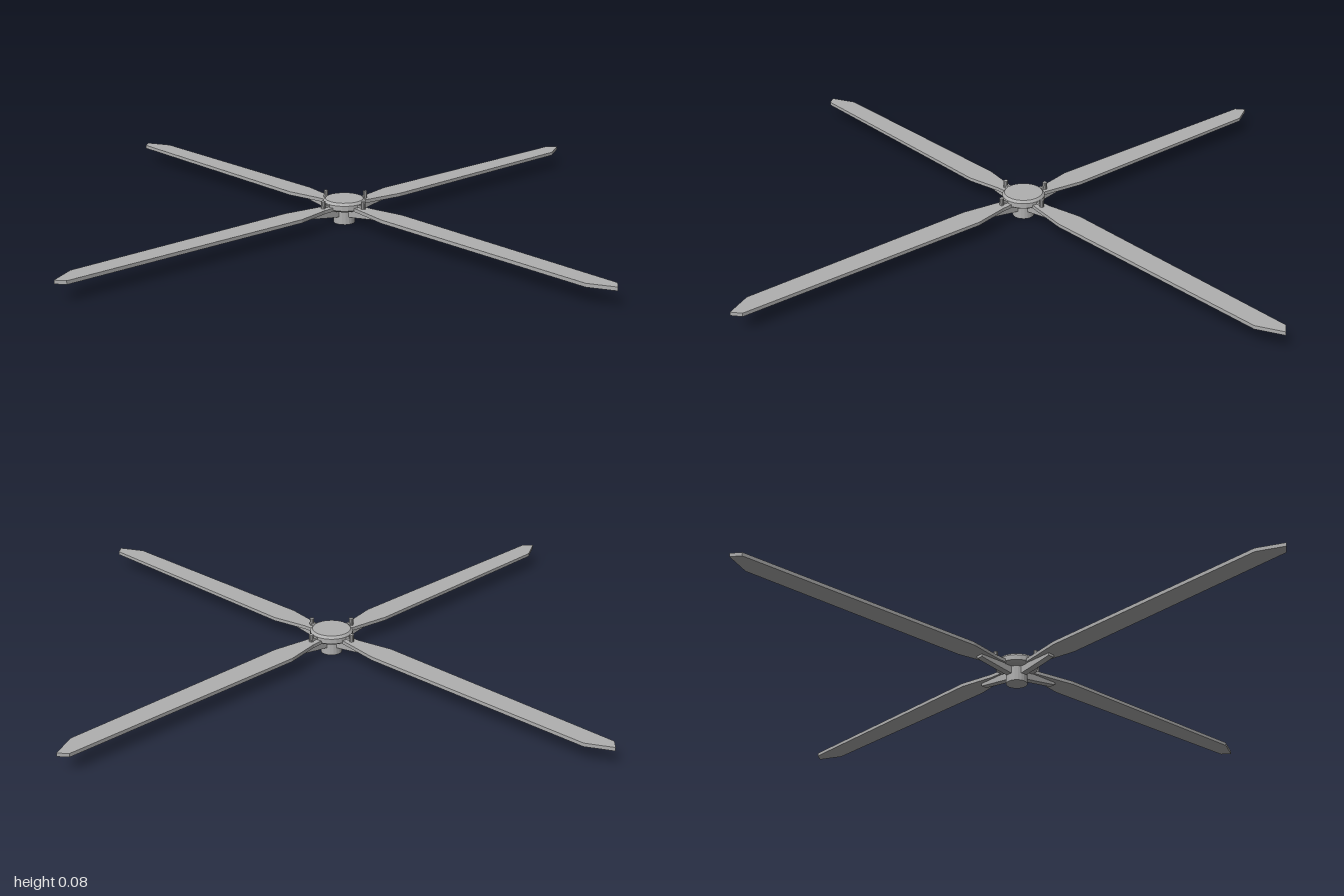
import * as THREE from 'three';

export function createModel() {
  const model = new THREE.Group();
  model.name = 'rotor';
  const grey = new THREE.MeshStandardMaterial({ color: 0xb0b0b0 });
  grey.name = 'grey metal';
  grey.flatShading = true;

  const add = (parent, name, geometry, x = 0, y = 0, z = 0) => {
    const mesh = new THREE.Mesh(geometry, grey);
    mesh.name = name;
    mesh.position.set(x, y, z);
    parent.add(mesh);
    return mesh;
  };
  const outline = (points) => new THREE.Shape(points.map(([x, y]) => new THREE.Vector2(x, y)));

  // Central shaft and chamfered hub cap
  add(model, 'shaft', new THREE.CylinderGeometry(0.034, 0.034, 0.055, 20), 0, 0.0275, 0);
  const capProfile = [[0, 0.048], [0.058, 0.048], [0.067, 0.054], [0.067, 0.07], [0.06, 0.078], [0, 0.078]];
  add(model, 'hubCap', new THREE.LatheGeometry(capProfile.map(([r, y]) => new THREE.Vector2(r, y)), 24));

  // Flat blade in plan, tapering to the hub and clipped at the tip
  const bladeGeometry = new THREE.ExtrudeGeometry(outline([
    [0.05, 0.0], [0.075, 0.005], [0.21, 0.027], [0.94, 0.272],
    [1.0, 0.333], [0.97, 0.352], [0.19, 0.107], [0.088, 0.05], [0.05, 0.035],
  ]), { depth: 0.011, bevelEnabled: false });
  bladeGeometry.rotateX(-Math.PI / 2);

  // Tapered brace under each blade, drawn from the side
  const braceGeometry = new THREE.ExtrudeGeometry(outline([
    [0.025, 0.023], [0.07, 0.029], [0.156, 0.042], [0.156, 0.051], [0.025, 0.051],
  ]), { depth: 0.022, bevelEnabled: false });
  braceGeometry.translate(0, 0, -0.011);

  for (let i = 0; i < 4; i++) {
    const arm = new THREE.Group();
    arm.name = 'bladeArm' + (i + 1);
    arm.rotation.y = i * Math.PI / 2;
    model.add(arm);
    add(arm, 'blade', bladeGeometry, 0, 0.05, 0);
    add(arm, 'brace', braceGeometry).rotation.y = 0.32;

    // Upright pin with a small cross lever
    add(arm, 'pin', new THREE.CylinderGeometry(0.007, 0.007, 0.04, 10), 0.084, 0.064, -0.026);
    add(arm, 'pinLever', new THREE.BoxGeometry(0.034, 0.007, 0.008), 0.073, 0.066, -0.023).rotation.y = 0.32;
  }
  return model;
}
